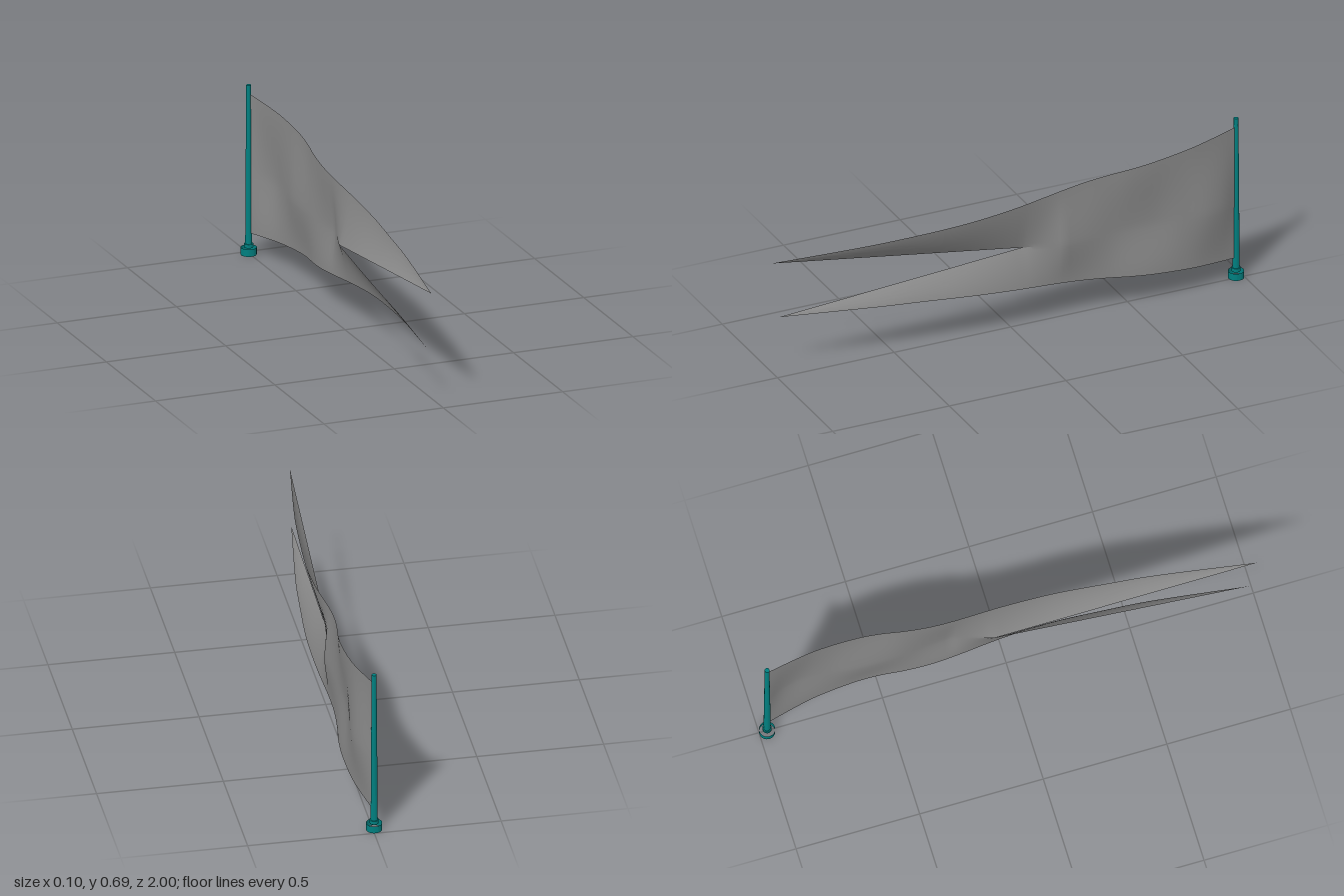
import * as THREE from 'three';
import { mergeGeometries, mergeVertices, toCreasedNormals } from 'three/addons/utils/BufferGeometryUtils.js';

// Smooth curve through [z, value] points, returned as a lookup by z
function curve(points) {
  return (z) => {
    const n = points.length;
    let i = 0;
    while (i < n - 2 && z > points[i + 1][0]) i++;
    const slope = (k) => {
      const a = points[Math.max(k - 1, 0)], b = points[Math.min(k + 1, n - 1)];
      return (b[1] - a[1]) / (b[0] - a[0]);
    };
    const [z0, v0] = points[i], [z1, v1] = points[i + 1];
    const h = z1 - z0, t = THREE.MathUtils.clamp((z - z0) / h, 0, 1), s = 1 - t;
    return v0 * s * s * (1 + 2 * t) + slope(i) * h * t * s * s
      + v1 * t * t * (3 - 2 * t) - slope(i + 1) * h * t * t * s;
  };
}

const { lerp, mapLinear, smoothstep } = THREE.MathUtils;

// The cloth is whole up to FOLD_Z, sharply folded up to SPLIT_Z, then parts into two tails
const POLE_Z = -0.96, FOLD_Z = -0.21, SPLIT_Z = -0.05, SPLIT_Y = 0.333;

// Sideways ripple of the cloth along its outer hems and its middle line
const hemX = curve([[POLE_Z, 0], [-0.85, 0.024], [-0.75, 0.041], [-0.6, 0.05], [-0.5, 0.046], [-0.4, 0.033],
  [-0.3, 0.026], [-0.2, 0.028], [0, 0.04], [0.2, 0.041], [0.4, 0.027], [0.6, 0.008], [1, -0.05]]);
const rippleX = curve([[POLE_Z, 0], [-0.9, 0.031], [-0.82, 0.049], [-0.72, 0.044], [-0.6, 0.029],
  [-0.45, 0.027], [-0.3, 0.039], [FOLD_Z, 0.046]]);
function middleX(z) {
  if (z <= FOLD_Z) return rippleX(z);
  if (z <= SPLIT_Z) return mapLinear(z, FOLD_Z, SPLIT_Z, 0.046, -0.005);
  return mapLinear(z, SPLIT_Z, 1, -0.005, -0.05);
}

// Heights of the outer hems
const topY = curve([[POLE_Z, 0.657], [-0.4, 0.588], [0, 0.535], [0.3, 0.508], [0.6, 0.492], [1, 0.475]]);
const bottomY = curve([[POLE_Z, 0.088], [-0.4, 0.14], [0, 0.178], [0.3, 0.202], [0.6, 0.218], [1, 0.234]]);

// Columns of the cloth grid, placed so that the fold and the split fall on one
const COLUMNS = 80;
function columnZ(c) {
  if (c <= 30) return mapLinear(c, 0, 30, POLE_Z, FOLD_Z);
  if (c <= 40) return mapLinear(c, 30, 40, FOLD_Z, SPLIT_Z);
  return mapLinear(c, 40, COLUMNS, SPLIT_Z, 1);
}

// One half of the cloth, from the middle line out to a hem
function clothHalf(upper) {
  const geo = new THREE.PlaneGeometry(1, 1, COLUMNS, 12);
  const pos = geo.attributes.position;
  const hemY = upper ? topY : bottomY;
  for (let i = 0; i < pos.count; i++) {
    const z = columnZ(Math.round((pos.getX(i) + 0.5) * COLUMNS));
    const v = upper ? pos.getY(i) + 0.5 : 0.5 - pos.getY(i);
    const innerY = z <= SPLIT_Z ? SPLIT_Y : mapLinear(z, SPLIT_Z, 1, SPLIT_Y, hemY(1));
    // Rounded section on the whole cloth, steeper beside the slit on the tails
    const whole = lerp(v, v * v * (3 - 2 * v), 0.7);
    const tail = v * (1.5 - 0.5 * v);
    const x = lerp(middleX(z), hemX(z), lerp(whole, tail, smoothstep(z, FOLD_Z, SPLIT_Z)));
    // The lower tail is slightly shorter
    pos.setXYZ(i, x, lerp(innerY, hemY(z), v), !upper && z > 0 ? z * 0.97 : z);
  }
  geo.deleteAttribute('uv');
  geo.deleteAttribute('normal');
  return geo;
}

export function createModel() {
  const group = new THREE.Group();

  // Swallow-tailed cloth, smooth except along the fold
  const cloth = mergeVertices(mergeGeometries([clothHalf(true), clothHalf(false)]), 1e-5);
  const flag = new THREE.Mesh(
    toCreasedNormals(cloth, 0.4),
    new THREE.MeshStandardMaterial({ color: 0x8a8a8a, side: THREE.DoubleSide }),
  );
  flag.name = 'flagCloth';
  group.add(flag);

  // Turned parts: tapered pole, collar, and an open ring as the foot
  const teal = new THREE.MeshStandardMaterial({ color: 0x008080, side: THREE.DoubleSide });
  const turned = {
    pole: [[0.0135, 0.045], [0.0125, 0.29], [0.0105, 0.55], [0.0095, 0.695], [0, 0.695]],
    collar: [[0, 0.03], [0.018, 0.03], [0.018, 0.045], [0.0135, 0.045]],
    foot: [[0.0315, 0], [0.0315, 0.03]],
  };
  for (const [name, profile] of Object.entries(turned)) {
    const lathe = new THREE.LatheGeometry(profile.map(([r, y]) => new THREE.Vector2(r, y)), 20);
    const mesh = new THREE.Mesh(toCreasedNormals(lathe, 0.6), teal);
    mesh.name = name;
    mesh.position.set(-0.005, 0, -0.9685);
    group.add(mesh);
  }
  return group;
}
